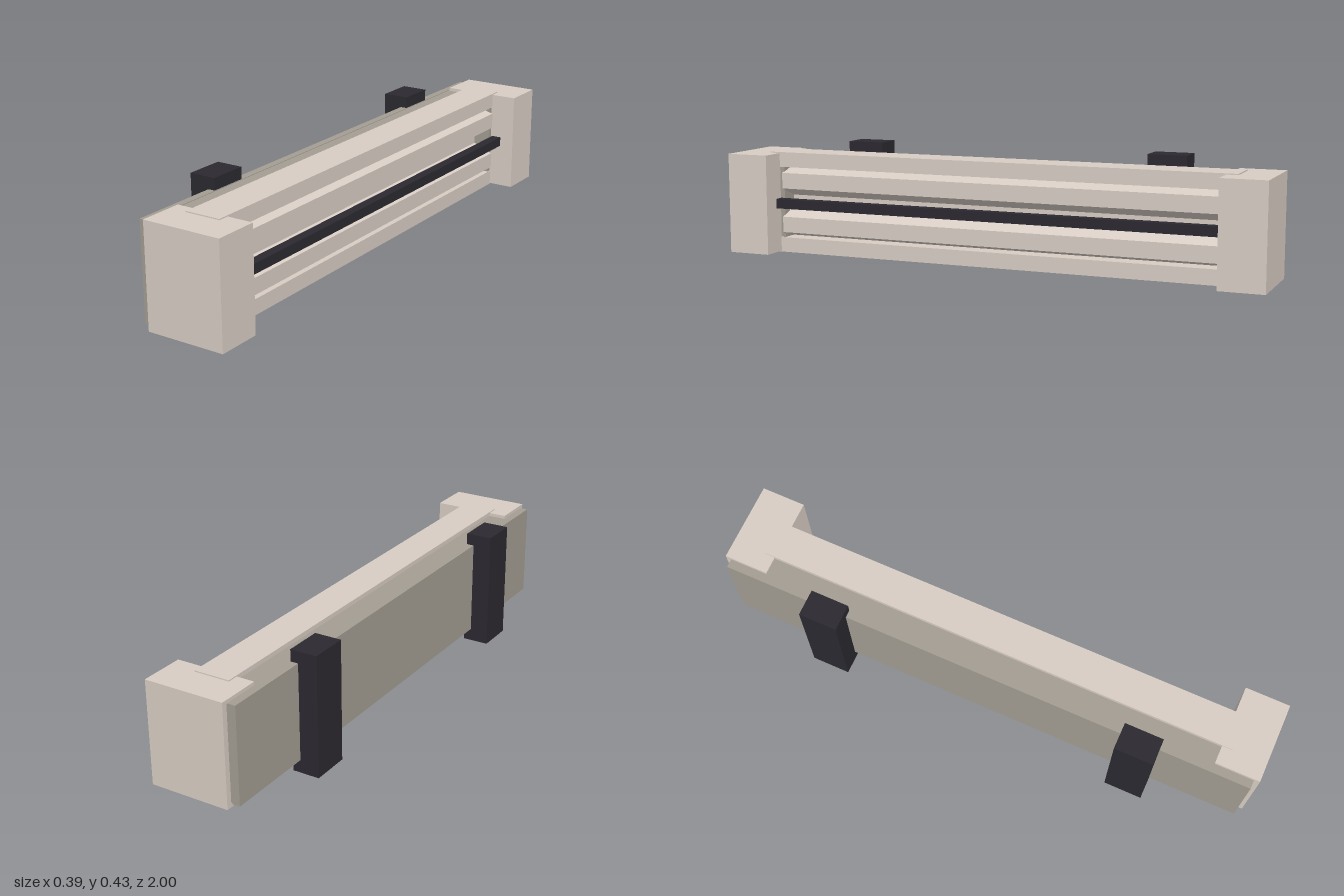
import * as THREE from 'three';

const beige = new THREE.MeshStandardMaterial({ color: 0xd8cdc4 });
const grey = new THREE.MeshStandardMaterial({ color: 0xa39d92 });
const dark = new THREE.MeshStandardMaterial({ color: 0x2b2930 });

const MID = 0.217; // height of the housing's mirror plane

export function createModel() {
  const group = new THREE.Group();

  function add(name, geometry, material) {
    const mesh = new THREE.Mesh(geometry, material);
    mesh.name = name;
    group.add(mesh);
    return mesh;
  }

  // Box given by its limits on each axis
  function box(name, material, [x0, x1], [y0, y1], [z0, z1]) {
    const mesh = add(name, new THREE.BoxGeometry(x1 - x0, y1 - y0, z1 - z0), material);
    mesh.position.set((x0 + x1) / 2, (y0 + y1) / 2, (z0 + z1) / 2);
  }

  // Cross-section in x, y drawn along z
  function extrude(name, material, points, z0, z1) {
    const shape = new THREE.Shape(points.map(([x, y]) => new THREE.Vector2(x, y)));
    const geometry = new THREE.ExtrudeGeometry(shape, { depth: z1 - z0, bevelEnabled: false });
    geometry.translate(0, 0, z0);
    add(name, geometry, material);
  }

  // Rear channel that carries the housing
  box('backPlate', grey, [-0.127, -0.1], [0.045, 0.39], [-0.98, 0.98]);
  box('rearChannel', grey, [-0.1, 0.03], [0.05, 0.388], [-0.98, 0.98]);

  // Front insert: two ridges with sloped sides around a central groove
  const upper = [[0.11, 0.27], [0.11, 0.328], [0.05, 0.346]];
  const mirrored = upper.map(([x, y]) => [x, 2 * MID - y]).reverse();
  extrude('ridgedInsert', beige,
    [[0, 0.088], ...mirrored, [0.035, 0.196], [0.035, 0.238], ...upper, [0, 0.346]],
    -0.825, 0.825);

  // Rails along the top and bottom edges, lapping over the end caps
  for (const side of [1, -1]) {
    const y = (h) => MID + side * h;
    const span = (a, b) => [Math.min(y(a), y(b)), Math.max(y(a), y(b))];
    const label = side > 0 ? 'top' : 'bottom';
    box(label + 'Rail', beige, [-0.03, 0.1], span(0.132, 0.182), [-0.84, 0.84]);
    box(label + 'CoverStrip', beige, [-0.03, 0.1], span(0.18, 0.187), [-0.88, 0.88]);
  }

  // End caps with thin inner collars, and the clips at the back
  for (const side of [1, -1]) {
    const span = (a, b) => (side > 0 ? [a, b] : [-b, -a]);
    const label = side > 0 ? 'front' : 'rear';
    box(label + 'EndCap', beige, [-0.095, 0.195], [0.033, 0.4], span(0.84, 1));
    box(label + 'Collar', grey, [0, 0.098], [0.086, 0.348], span(0.822, 0.842));

    extrude(label + 'Clip', dark, [
      [-0.197, 0], [-0.1, 0], [-0.1, 0.044], [-0.128, 0.044],
      [-0.128, 0.391], [-0.1, 0.391], [-0.1, 0.433], [-0.197, 0.433],
    ], ...span(0.515, 0.655));
  }

  // Dark bar in front of the groove
  box('centreBar', dark, [0.11, 0.146], [0.2, 0.235], [-0.83, 0.83]);

  return group;
}
